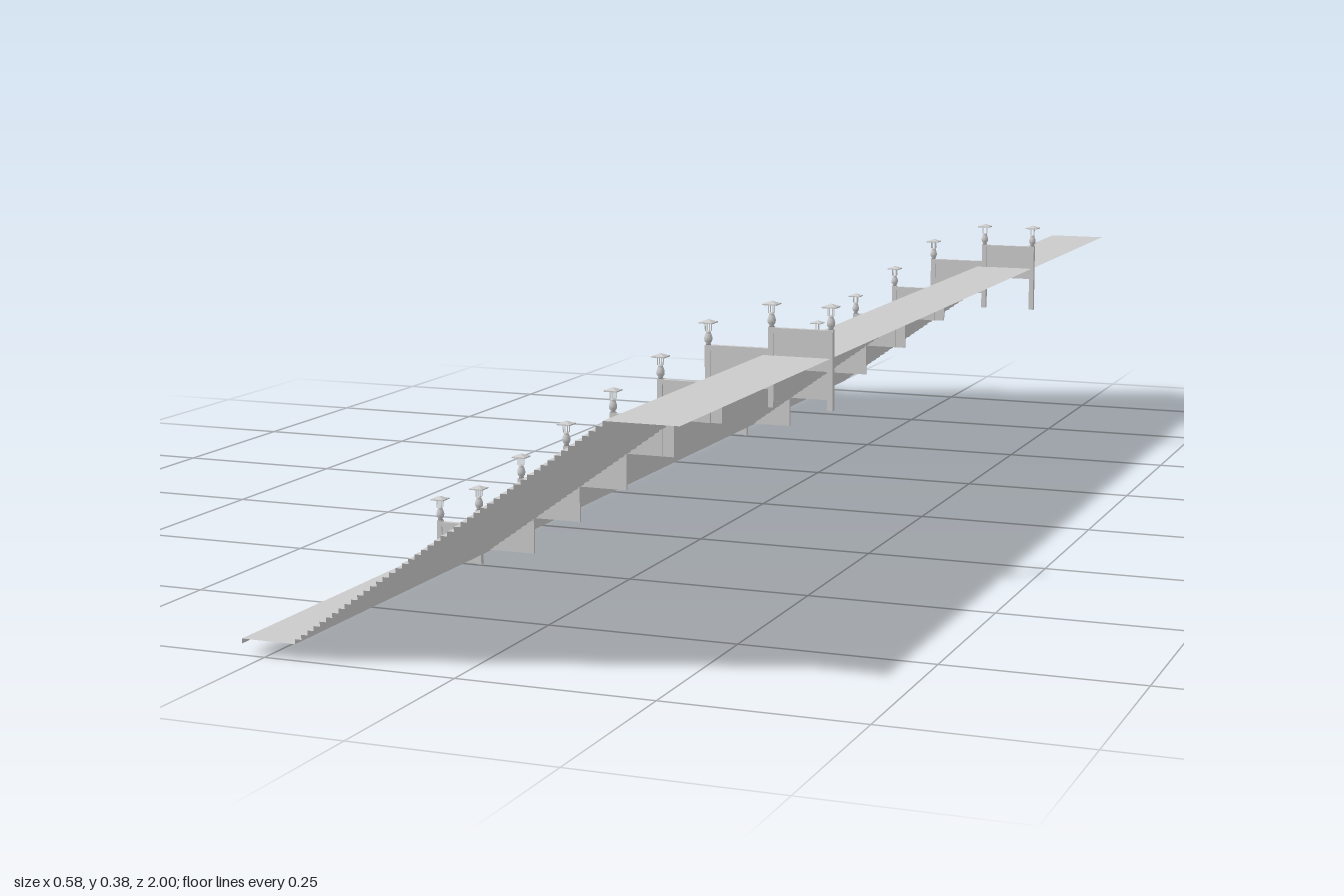
import * as THREE from 'three';

const grey = new THREE.MeshStandardMaterial({ color: 0xcccccc, side: THREE.DoubleSide });
const flatGrey = new THREE.MeshStandardMaterial({ color: 0xcccccc, side: THREE.DoubleSide, flatShading: true });

function add(parent, name, geometry, x, y, z, material = grey) {
  const mesh = new THREE.Mesh(geometry, material);
  mesh.name = name;
  mesh.position.set(x, y, z);
  parent.add(mesh);
  return mesh;
}

// Box given by its x and y limits and its depth
function slab(parent, name, x0, x1, y0, y1, depth) {
  return add(parent, name, new THREE.BoxGeometry(x1 - x0, y1 - y0, depth), (x0 + x1) / 2, (y0 + y1) / 2, 0);
}

// Open sheet: lower landing, 48 steps and upper landing, swept along z
function stairGeometry() {
  const steps = 48, x0 = -0.208, x1 = 0.197, y0 = 0.02, y1 = 0.311;
  const run = (x1 - x0) / steps, rise = (y1 - y0) / steps;
  const profile = [[-0.28, y0 - rise], [-0.28, y0]];
  for (let i = 0; i < steps; i++) {
    const x = x0 + i * run, y = y0 + i * rise;
    profile.push([x, y], [x, y + rise]);
  }
  profile.push([0.28, y1]);
  const positions = [];
  for (let i = 0; i < profile.length - 1; i++) {
    const [ax, ay] = profile[i], [bx, by] = profile[i + 1];
    positions.push(ax, ay, 1, bx, by, 1, bx, by, -1);
    positions.push(ax, ay, 1, bx, by, -1, ax, ay, -1);
  }
  const geometry = new THREE.BufferGeometry();
  geometry.setAttribute('position', new THREE.Float32BufferAttribute(positions, 3));
  geometry.computeVertexNormals();
  return geometry;
}

// Post with an urn and a small roofed lantern on top
const urnProfile = [[0, 0], [0.0035, 0], [0.003, 0.002], [0.005, 0.005], [0.0055, 0.009],
  [0.004, 0.014], [0.003, 0.016], [0.0042, 0.018], [0, 0.018]].map(([r, y]) => new THREE.Vector2(r, y));
const urnGeometry = new THREE.LatheGeometry(urnProfile, 12);
const rodGeometry = new THREE.BoxGeometry(0.001, 0.01, 0.001);
const eaveGeometry = new THREE.BoxGeometry(0.019, 0.0015, 0.019);
const roofGeometry = new THREE.ConeGeometry(0.0125, 0.004, 4).rotateY(Math.PI / 4);

function makePost(x, bottom, shoulder) {
  const post = new THREE.Group();
  post.name = 'post';
  post.position.x = x;
  slab(post, 'postShaft', -0.0036, 0.0036, bottom, shoulder, 0.0075);
  add(post, 'urn', urnGeometry, 0, shoulder, 0);
  for (const sx of [-1, 1]) for (const sz of [-1, 1]) {
    add(post, 'lanternRod', rodGeometry, sx * 0.003, shoulder + 0.023, sz * 0.003);
  }
  add(post, 'lanternEave', eaveGeometry, 0, shoulder + 0.029, 0);
  add(post, 'lanternRoof', roofGeometry, 0, shoulder + 0.0315, 0, flatGrey);
  return post;
}

// Stepped balustrade: posts as [x, bottom, shoulder], panels as [x0, x1, rail end, bottom]
const posts = [
  [-0.28, 0, 0.058], [-0.221, 0.002, 0.077], [-0.157, 0.074, 0.125], [-0.09, 0.122, 0.174],
  [-0.022, 0.17, 0.223], [0.046, 0.17, 0.272], [0.113, 0.218, 0.32], [0.2, 0.244, 0.348], [0.28, 0.244, 0.348],
];
const panels = [
  [-0.28, -0.22, -0.22, 0.003], [-0.22, -0.139, -0.157, 0.023], [-0.161, -0.071, -0.09, 0.072],
  [-0.093, -0.003, -0.022, 0.12], [-0.025, 0.065, 0.046, 0.169], [0.045, 0.132, 0.113, 0.218],
  [0.113, 0.2, 0.2, 0.267], [0.2, 0.28, 0.28, 0.294],
];

function makeBalustrade(z) {
  const balustrade = new THREE.Group();
  balustrade.name = 'balustrade';
  balustrade.position.z = z;
  for (const [x, bottom, shoulder] of posts) balustrade.add(makePost(x, bottom, shoulder));
  for (const [x0, x1, railEnd, bottom] of panels) {
    slab(balustrade, 'panel', x0, x1, bottom, bottom + 0.05, 0.003);
    slab(balustrade, 'handrail', x0, railEnd, bottom + 0.048, bottom + 0.053, 0.007);
    slab(balustrade, 'railMoulding', x0, railEnd, bottom + 0.046, bottom + 0.048, 0.005);
  }
  return balustrade;
}

export function createModel() {
  const model = new THREE.Group();
  model.name = 'wideStaircase';
  add(model, 'stairs', stairGeometry(), 0, 0, 0);
  for (const z of [-0.5, 0.5]) model.add(makeBalustrade(z));
  return model;
}
